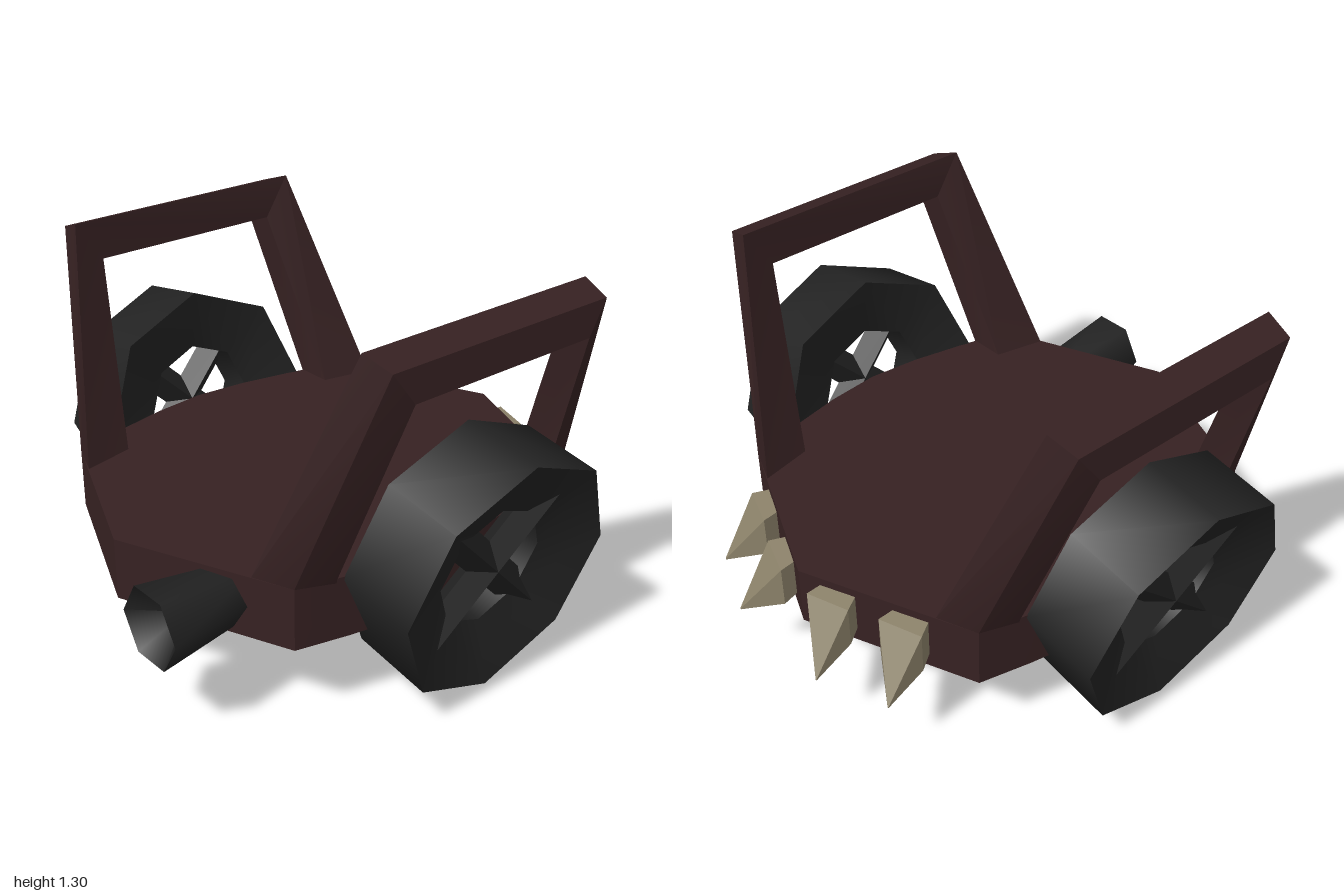
import * as THREE from 'three';
import { toCreasedNormals } from 'three/addons/utils/BufferGeometryUtils.js';

const mat = (name, color) => {
  const m = new THREE.MeshStandardMaterial({ color });
  m.name = name;
  return m;
};

// Joins rings of equal point count into a closed solid
function loft(rings) {
  const pos = [];
  const n = rings[0].length;
  const tri = (...pts) => pts.forEach((p) => pos.push(...p));
  for (let r = 0; r < rings.length - 1; r++) {
    for (let i = 0; i < n; i++) {
      const j = (i + 1) % n;
      const [a, b, c, d] = [rings[r][i], rings[r][j], rings[r + 1][j], rings[r + 1][i]];
      tri(a, b, c);
      tri(a, c, d);
    }
  }
  const first = rings[0], last = rings[rings.length - 1];
  for (let i = 1; i < n - 1; i++) {
    tri(first[0], first[i + 1], first[i]);
    tri(last[0], last[i], last[i + 1]);
  }
  // Turn the faces outward if the rings ran the other way round
  let volume = 0;
  const v = (k) => new THREE.Vector3().fromArray(pos, k);
  for (let k = 0; k < pos.length; k += 9) volume += v(k).dot(v(k + 3).cross(v(k + 6)));
  if (volume < 0) {
    for (let k = 0; k < pos.length; k += 9) {
      for (let c = 0; c < 3; c++) [pos[k + c], pos[k + 3 + c]] = [pos[k + 3 + c], pos[k + c]];
    }
  }
  const g = new THREE.BufferGeometry();
  g.setAttribute('position', new THREE.Float32BufferAttribute(pos, 3));
  return toCreasedNormals(g, 0.4);
}

// Faceted lathe, smoothed around but sharp at its rims
function lathe(points, sides, start, crease) {
  const profile = points.map(([r, y]) => new THREE.Vector2(r, y));
  return toCreasedNormals(new THREE.LatheGeometry(profile, sides, start), crease);
}

function add(parent, name, geometry, material) {
  const m = new THREE.Mesh(geometry, material);
  m.name = name;
  parent.add(m);
  return m;
}

// Trapezoid side frame: one quad section at each of its four corners
function archGeometry() {
  const base = [[0.46, 0.52, 0.655], [0.6, 0.52, 0.6], [0.64, 0.52, 0.465], [0.5, 0.52, 0.465]];
  const top = [[0.74, 1.3, 0.47], [0.845, 1.265, 0.45], [0.855, 1.155, 0.37], [0.735, 1.155, 0.37]];
  const sunk = base.map(([x, y, z]) => [x - 0.02, y - 0.06, z * 0.98]);
  const back = (ring) => ring.map(([x, y, z]) => [x, y, -z]);
  return loft([sunk, base, top, back(top), back(base), back(sunk)]);
}

// Tilted eight-sided wheel with dished faces, an open centre and crossed spokes
function makeWheel(black) {
  const wheel = new THREE.Group();
  wheel.name = 'wheel';
  const profile = [[0.437, -0.145], [0.437, 0.145], [0.22, 0.06], [0.22, -0.08], [0.437, -0.145]];
  add(wheel, 'rim', lathe(profile, 8, 0, 0.9).rotateZ(-Math.PI / 2), black);
  // Ridged bars run into the dished face, which leaves pointed ends
  for (const s of [-1, 1]) {
    const spoke = new THREE.BoxGeometry(0.085, 0.7, 0.085)
      .rotateY(Math.PI / 4).rotateX(s * Math.PI / 4).translate(0.035, 0, 0);
    add(wheel, 'spoke', spoke, black);
  }
  wheel.position.set(0.78, 0.485, 0);
  wheel.rotation.z = -THREE.MathUtils.degToRad(10);
  return wheel;
}

// Four-sided spike that swells, then bends down to its tip
function spikeGeometry(side, x, z) {
  const ring = (dx, y, dz, w, h) => [[-1, -1], [1, -1], [1, 1], [-1, 1]].map(([a, b]) =>
    [side * (x + dx + a * w), y + b * h, z - dz + a * w * 0.35]);
  return loft([
    ring(0, 0.43, 0, 0.05, 0.065),
    ring(0.022, 0.41, 0.09, 0.075, 0.075),
    ring(0.092, 0.265, 0.205, 0.002, 0.002),
  ]);
}

export function createModel() {
  const model = new THREE.Group();
  model.name = 'hoverCar';
  const maroon = mat('darkMaroon', 0x362122);
  const black = mat('black', 0x222222);
  const bone = mat('bone', 0x8b8169);

  // Deck slab with a shallow pointed underside
  const half = [[0, 0.85], [0.6, 0.6], [0.645, 0.42], [0.69, 0.2],
    [0.71, 0], [0.69, -0.2], [0.645, -0.42], [0.6, -0.6]];
  const outline = [...half, ...half.map(([x, z]) => [-x, -z])];
  const level = (y, s) => outline.map(([x, z]) => [x * s, y, z * s]);
  add(model, 'hull', loft([level(0, 0.002), level(0.3, 1), level(0.52, 1)]), maroon);

  // Side frame and wheel, repeated by a half turn
  for (const [name, turn] of [['leftSide', 0], ['rightSide', Math.PI]]) {
    const side = new THREE.Group();
    side.name = name;
    add(side, 'sideFrame', archGeometry(), maroon);
    side.add(makeWheel(black));
    side.rotation.y = turn;
    model.add(side);
  }

  // Flared six-sided pipe with a hollow mouth
  const pipe = [[0, 0.6], [0.09, 0.6], [0.138, 0.96], [0, 0.82]];
  const pipeGeo = lathe(pipe, 6, Math.PI / 2, 1.1).rotateX(Math.PI / 2);
  add(model, 'frontPipe', pipeGeo, black).position.set(0.35, 0.41, 0);

  // Rear spikes
  for (const side of [-1, 1]) {
    add(model, 'innerSpike', spikeGeometry(side, 0.125, -0.755), bone);
    add(model, 'outerSpike', spikeGeometry(side, 0.37, -0.655), bone);
  }
  return model;
}
